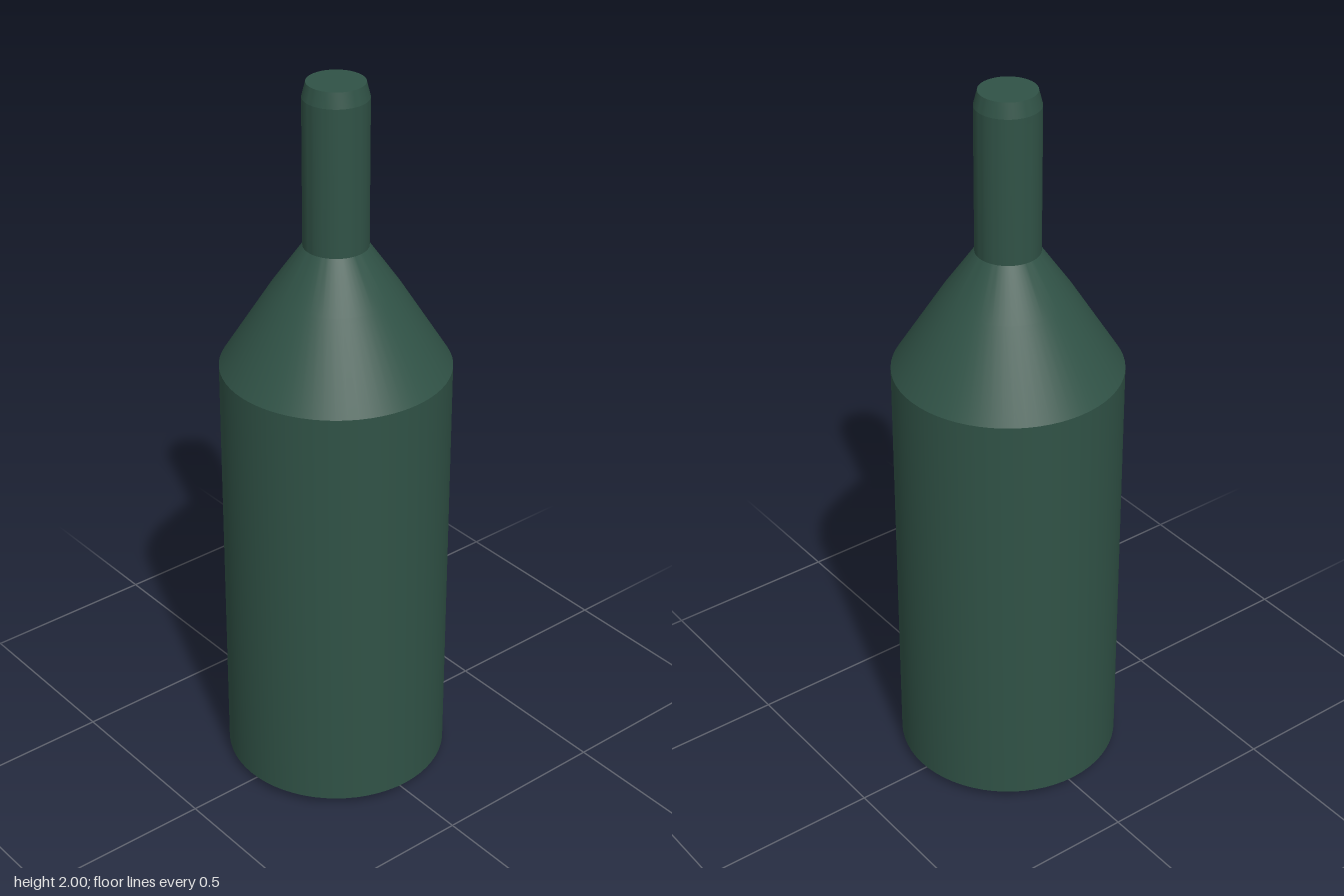
import * as THREE from 'three';
import { toCreasedNormals } from 'three/addons/utils/BufferGeometryUtils.js';

const SEGMENTS = 64;

export function createModel() {
  const group = new THREE.Group();
  group.name = 'bottle';

  const glass = new THREE.MeshStandardMaterial({ color: 0x305246 });
  glass.name = 'dark green glass';

  // Turns a bottom-to-top profile of [radius, height] pairs, keeping its edges crisp
  const addTurned = (name, profile) => {
    const points = profile.map(([r, y]) => new THREE.Vector2(r, y));
    const geometry = toCreasedNormals(new THREE.LatheGeometry(points, SEGMENTS), 0.2);
    const mesh = new THREE.Mesh(geometry, glass);
    mesh.name = name;
    group.add(mesh);
  };

  // Closed base with a shallow bevel, and the straight wall
  addTurned('body', [[0, 0], [0.235, 0], [0.304, 0.025], [0.304, 1.225]]);

  // Slightly bowed cone
  addTurned('shoulder', [[0.304, 1.225], [0.17, 1.44], [0.085, 1.563]]);

  // Straight neck with a tapered, closed mouth
  addTurned('neck', [[0.085, 1.563], [0.085, 1.96], [0.075, 2], [0, 2]]);

  return group;
}
